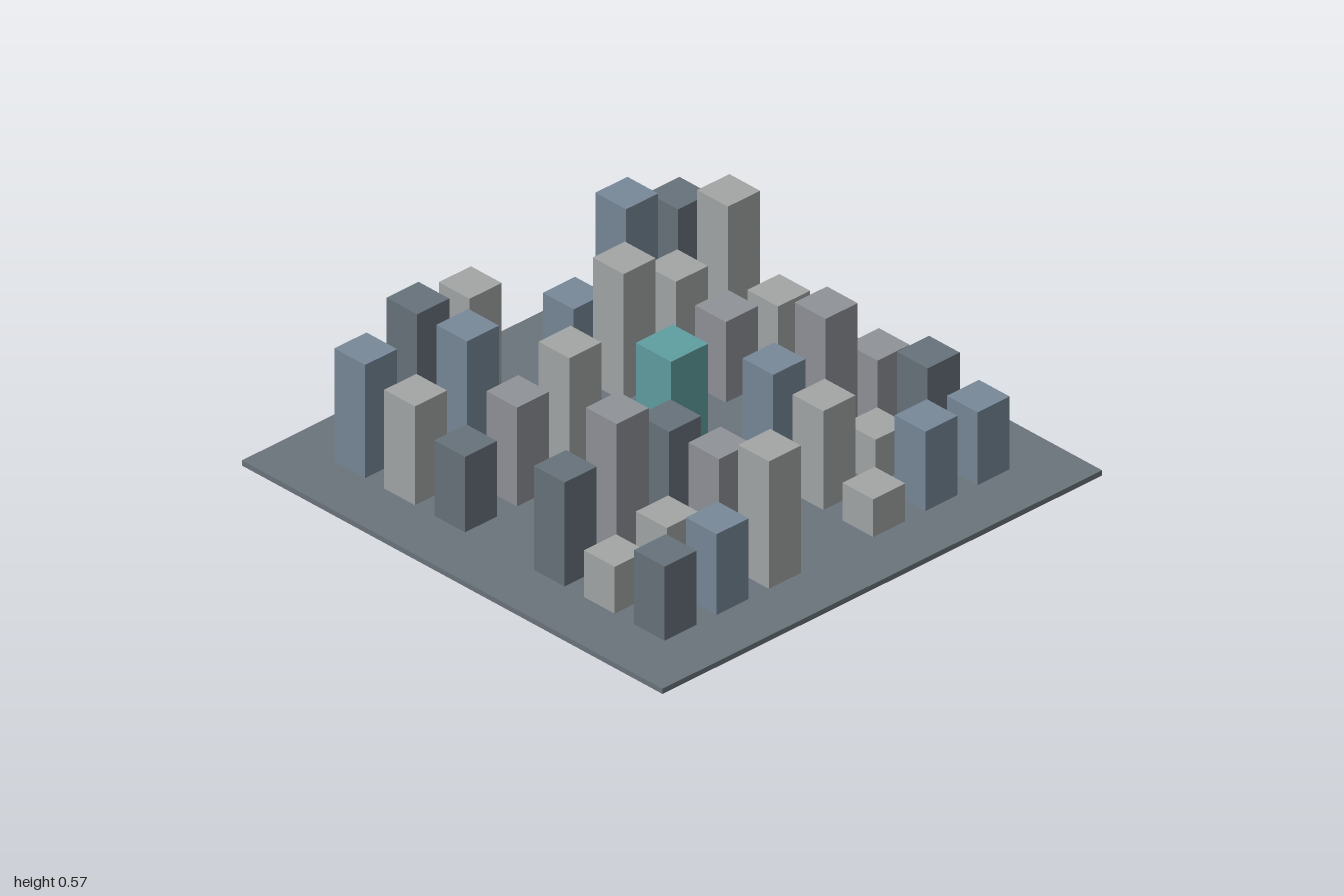
import * as THREE from 'three';

const BASE_TOP = 0.02;
const GRID = [-0.712, -0.475, -0.237, 0.237, 0.475, 0.712];

const mat = (color) => new THREE.MeshStandardMaterial({ color, flatShading: true });

// Box standing between two heights, centred on x, z
function block(name, material, x, z, width, depth, bottom, top) {
  const mesh = new THREE.Mesh(new THREE.BoxGeometry(width, top - bottom, depth), material);
  mesh.position.set(x, (bottom + top) / 2, z);
  mesh.name = name;
  return mesh;
}

export function createModel() {
  const city = new THREE.Group();
  city.name = 'cityBlock';

  // L light, M medium, D dark, B blue
  const facade = { L: mat(0xa3a6a6), M: mat(0x8f9298), D: mat(0x66727a), B: mat(0x778899) };

  // Facade and roof height of each building: rows from back to front, columns from -x to +x
  const rows = [
    ['BDLBBD', [0.455, 0.55, 0.51, 0.27, 0.555, 0.455]],
    ['LBLLLL', [0.4, 0.55, 0.19, 0.51, 0.38, 0.57]],
    ['DMLMML', [0.31, 0.4, 0.49, 0.25, 0.33, 0.29]],
    ['DMDBMM', [0.42, 0.545, 0.415, 0.435, 0.55, 0.29]],
    ['LLMLLD', [0.2, 0.25, 0.415, 0.4, 0.19, 0.365]],
    ['DBLLBB', [0.305, 0.33, 0.51, 0.165, 0.325, 0.3]],
  ];

  // Ground slab
  city.add(block('ground', mat(0x6b747c), 0, 0, 2, 2, 0, BASE_TOP));

  // Central tower at the crossing of the two avenues
  city.add(block('centralTower', mat(0x5f9ea0), 0, 0, 0.168, 0.168, BASE_TOP, 0.49));

  // Four quarters of three by three buildings
  const buildings = new THREE.Group();
  buildings.name = 'buildings';
  rows.forEach(([facades, heights], r) => {
    heights.forEach((h, c) => {
      buildings.add(block(`building row ${r + 1} column ${c + 1}`, facade[facades[c]],
        GRID[c], GRID[r], 0.146, 0.146, BASE_TOP, h));
    });
  });
  city.add(buildings);
  return city;
}
